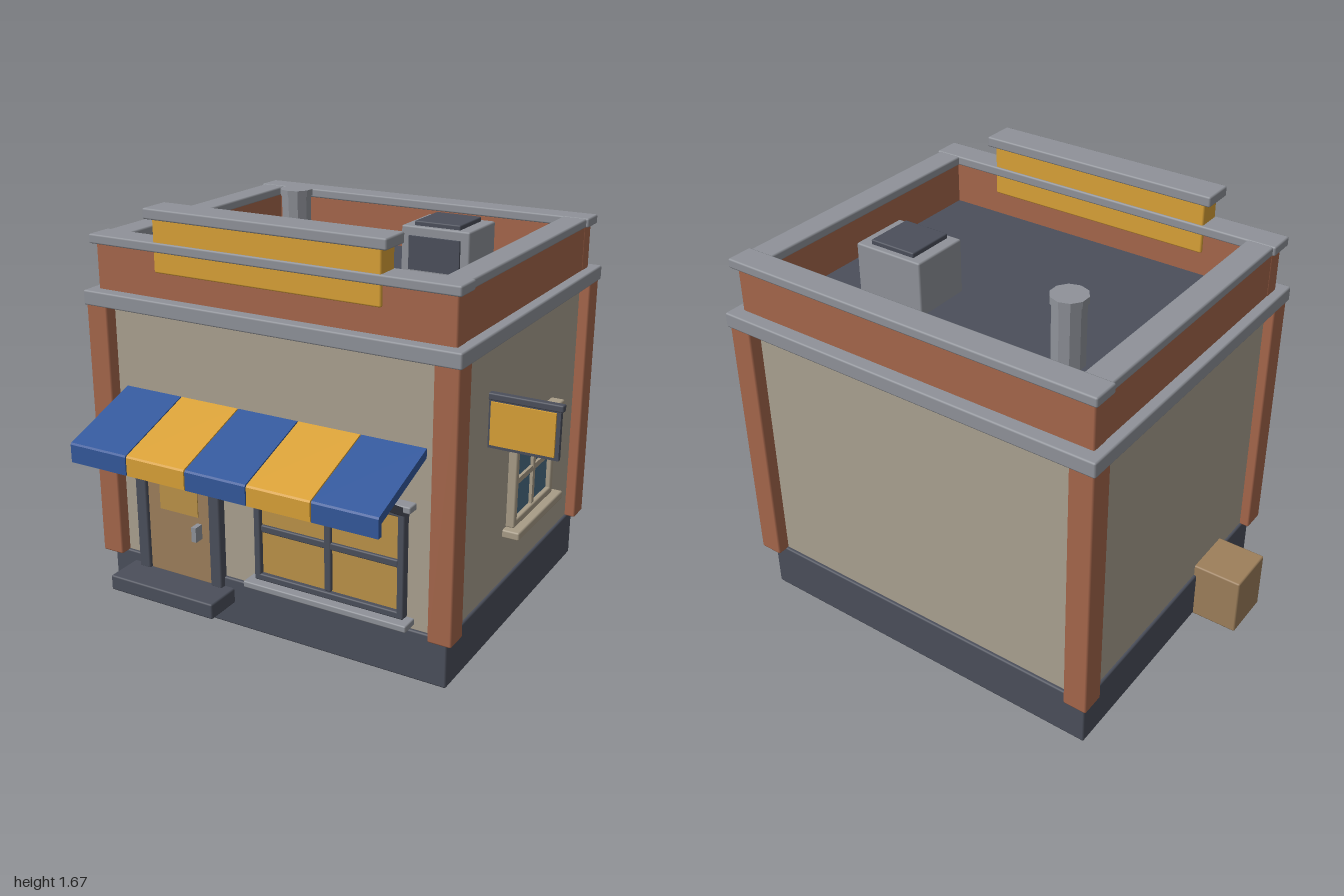
import * as THREE from 'three';
import { RoundedBoxGeometry } from 'three/addons/geometries/RoundedBoxGeometry.js';

const paint = (name, color) => {
  const m = new THREE.MeshStandardMaterial({ color });
  m.name = name;
  return m;
};

export function createModel() {
  const model = new THREE.Group();
  model.name = 'cornerShop';

  const wall = paint('plaster', 0xaaa190);
  const brick = paint('brick', 0xa5664b);
  const slate = paint('slate', 0x4b4f5b);
  const stone = paint('stone', 0x8f9299);
  const blue = paint('awning blue', 0x33589b);
  const yellow = paint('sign yellow', 0xd9a137);
  const wood = paint('wood', 0x9d7f5b);
  const amber = paint('lit glass', 0xbb9248);
  const glass = paint('blue glass', 0x4b6d86);
  const trim = paint('window trim', 0xa89c87);

  // Box given by its limits on each axis, with a slightly softened edge
  const box = (name, mat, x0, x1, y0, y1, z0, z1, parent = model) => {
    const w = x1 - x0, h = y1 - y0, d = z1 - z0;
    const small = Math.min(w, h, d);
    const geo = small < 0.025
      ? new THREE.BoxGeometry(w, h, d)
      : new RoundedBoxGeometry(w, h, d, 1, Math.min(0.007, small * 0.2));
    const mesh = new THREE.Mesh(geo, mat);
    mesh.name = name;
    mesh.position.set((x0 + x1) / 2, (y0 + y1) / 2, (z0 + z1) / 2);
    parent.add(mesh);
    return mesh;
  };
  const group = (name) => {
    const g = new THREE.Group();
    g.name = name;
    model.add(g);
    return g;
  };

  // Main body
  box('foundation', slate, -0.81, 0.725, 0, 0.205, -0.79, 0.5);
  box('walls', wall, -0.8, 0.715, 0.2, 1.3, -0.778, 0.488);
  for (const x of [-0.84, 0.663])
    for (const z of [-0.83, 0.44])
      box('cornerPillar', brick, x, x + 0.097, 0.2, 1.27, z, z + 0.1);
  box('cornice', stone, -0.85, 0.768, 1.26, 1.32, -0.84, 0.545);
  box('roofDeck', slate, -0.76, 0.68, 1.3, 1.326, -0.74, 0.45);

  // Parapet ring and its coping
  const parapet = group('parapet');
  box('frontParapet', brick, -0.81, 0.727, 1.31, 1.505, 0.42, 0.495, parapet);
  box('backParapet', brick, -0.81, 0.727, 1.31, 1.505, -0.785, -0.71, parapet);
  box('leftParapet', brick, 0.65, 0.725, 1.31, 1.505, -0.72, 0.43, parapet);
  box('rightParapet', brick, -0.808, -0.733, 1.31, 1.505, -0.72, 0.43, parapet);
  box('frontCoping', stone, -0.83, 0.745, 1.5, 1.538, 0.4, 0.515, parapet);
  box('backCoping', stone, -0.83, 0.745, 1.5, 1.538, -0.81, -0.7, parapet);
  box('leftCoping', stone, 0.63, 0.735, 1.5, 1.536, -0.71, 0.41, parapet);
  box('rightCoping', stone, -0.82, -0.712, 1.5, 1.536, -0.71, 0.41, parapet);

  // Sign board over the shop front
  box('signBoard', yellow, -0.525, 0.442, 1.42, 1.63, 0.408, 0.508);
  box('signBoardCap', stone, -0.555, 0.47, 1.625, 1.667, 0.39, 0.525);

  // Rooftop vent and cooling unit
  const addPipe = (name, r, y0, y1) => {
    const geo = new THREE.CylinderGeometry(r, r, y1 - y0, 10).toNonIndexed();
    geo.computeVertexNormals();
    const mesh = new THREE.Mesh(geo, stone);
    mesh.name = name;
    mesh.position.set(-0.462, (y0 + y1) / 2, -0.408);
    model.add(mesh);
  };
  addPipe('ventPipe', 0.064, 1.32, 1.58);
  addPipe('ventPipeRim', 0.07, 1.57, 1.597);
  const cooler = group('coolingUnit');
  box('coolerBody', stone, 0.148, 0.443, 1.32, 1.542, -0.455, -0.21, cooler);
  box('coolerLid', slate, 0.195, 0.393, 1.535, 1.56, -0.43, -0.23, cooler);
  box('coolerGrille', slate, 0.185, 0.405, 1.37, 1.505, -0.215, -0.2, cooler);

  // Door with frame, glass, handle and steps
  const door = group('door');
  box('doorFrameTop', slate, -0.665, -0.255, 0.703, 0.735, 0.47, 0.525, door);
  for (const x of [-0.665, -0.308])
    box('doorJamb', slate, x, x + 0.053, 0.16, 0.71, 0.47, 0.525, door);
  box('doorLeaf', wood, -0.614, -0.304, 0.16, 0.706, 0.47, 0.511, door);
  box('doorGlass', amber, -0.55, -0.365, 0.445, 0.61, 0.508, 0.515, door);
  box('doorHandle', stone, -0.372, -0.35, 0.355, 0.418, 0.508, 0.553, door);
  box('doorstep', slate, -0.71, -0.21, 0.1, 0.165, 0.47, 0.657, door);
  box('lowerStep', slate, -0.665, -0.255, 0.07, 0.11, 0.47, 0.528, door);

  // Framed window facing +z, centred on its own origin
  const makeWindow = (name, w, h, bar, mullion, frameMat, glassMat, sillMat, over, sillH, sillOut, headOut) => {
    const g = group(name);
    const x = w / 2, y = h / 2, m = mullion / 2;
    for (const s of [-1, 1]) {
      const cx = s * (x - bar / 2), cy = s * (y - bar / 2);
      box('windowStile', frameMat, cx - bar / 2, cx + bar / 2, -y, y, -0.02, 0.035, g);
      box('windowRail', frameMat, -x, x, cy - bar / 2, cy + bar / 2, -0.02, 0.035, g);
    }
    box('windowGlass', glassMat, -x + 0.01, x - 0.01, -y + 0.01, y - 0.01, -0.005, 0.015, g);
    box('uprightMullion', frameMat, -m, m, -y + bar, y - bar, 0, 0.028, g);
    box('crossMullion', frameMat, -x + bar, x - bar, -m, m, 0, 0.027, g);
    box('windowHeader', sillMat, -x - over, x + over, y, y + sillH, -0.02, headOut, g);
    box('windowSill', sillMat, -x - over, x + over, -y - sillH, -y, -0.02, sillOut, g);
    return g;
  };
  makeWindow('shopWindow', 0.65, 0.44, 0.028, 0.03, slate, amber, stone, 0.03, 0.027, 0.072, 0.05)
    .position.set(0.23, 0.47, 0.488);
  const side = makeWindow('sideWindow', 0.41, 0.37, 0.03, 0.024, trim, glass, trim, 0.032, 0.034, 0.07, 0.055);
  side.position.set(0.715, 0.618, -0.246);
  side.rotation.y = Math.PI / 2;

  // Striped awning: a sloped sheet with a hanging valance, cut from one profile
  const profile = new THREE.Shape([
    [0.48, 0.937], [0.835, 0.812], [0.84, 0.805], [0.84, 0.733],
    [0.818, 0.733], [0.818, 0.782], [0.48, 0.9],
  ].map(([z, y]) => new THREE.Vector2(-z, y)));
  const stripe = new THREE.ExtrudeGeometry(profile, { depth: 0.261, bevelEnabled: false });
  stripe.rotateY(Math.PI / 2);
  const awning = group('awning');
  for (let i = 0; i < 5; i++) {
    const mesh = new THREE.Mesh(stripe, i % 2 ? yellow : blue);
    mesh.name = 'awningStripe';
    mesh.position.x = -0.703 + i * 0.2655;
    awning.add(mesh);
  }
  for (const x of [-0.627, 0.543]) {
    const a = new THREE.Vector3(x, 0.665, 0.485), b = new THREE.Vector3(x, 0.815, 0.74);
    const brace = new THREE.Mesh(new THREE.BoxGeometry(0.028, 0.028, a.distanceTo(b)), slate);
    brace.name = 'awningBrace';
    brace.position.copy(a).add(b).multiplyScalar(0.5);
    brace.rotation.x = -Math.atan2(b.y - a.y, b.z - a.z);
    awning.add(brace);
  }

  // Projecting sign on the side wall
  const hanging = group('hangingSign');
  box('signBracket', slate, 0.7, 1.0, 1.035, 1.062, 0.152, 0.183, hanging);
  box('signFrame', slate, 0.71, 0.99, 0.848, 1.04, 0.158, 0.177, hanging);
  for (const z of [0.15, 0.177])
    box('signPanel', yellow, 0.725, 0.975, 0.862, 1.03, z, z + 0.008, hanging);

  // Wooden crate beside the shop
  box('crate', wood, -1.0, -0.785, 0, 0.252, 0.04, 0.255);

  return model;
}
